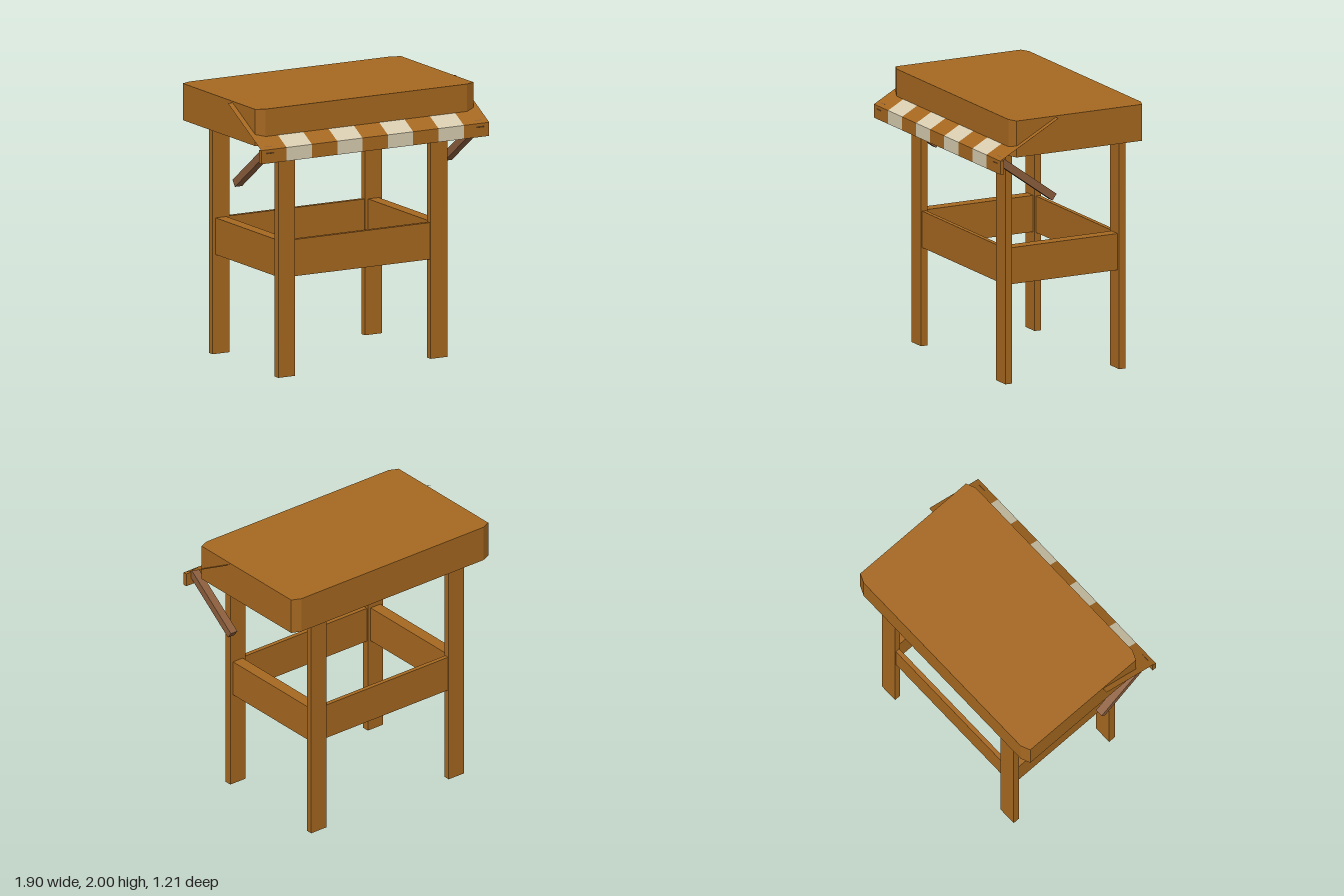
import * as THREE from 'three';

export function createModel() {
  const model = new THREE.Group();
  model.name = 'marketStall';

  const wood = new THREE.MeshStandardMaterial({ color: 0xa66820, side: THREE.DoubleSide });
  wood.name = 'warm wood';
  const cream = new THREE.MeshStandardMaterial({ color: 0xd9cdb0, side: THREE.DoubleSide });
  cream.name = 'cream cloth';
  const darkWood = new THREE.MeshStandardMaterial({ color: 0x8b5e3c });
  darkWood.name = 'strut wood';

  const add = (name, geometry, material, x, y, z) => {
    const mesh = new THREE.Mesh(geometry, material);
    mesh.name = name;
    mesh.position.set(x, y, z);
    model.add(mesh);
    return mesh;
  };
  // Box given by its minimum and maximum on each axis
  const slab = (name, material, [x0, x1], [y0, y1], [z0, z1]) =>
    add(name, new THREE.BoxGeometry(x1 - x0, y1 - y0, z1 - z0), material,
      (x0 + x1) / 2, (y0 + y1) / 2, (z0 + z1) / 2);

  // Thick top with clipped corners (shape y runs towards -z)
  const w = 0.91, front = -0.48, back = 0.605, cx = 0.07, cz = 0.03;
  const outline = new THREE.Shape([
    [-w + cx, front], [w - cx, front], [w, front + cz], [w, back - cz],
    [w - cx, back], [-w + cx, back], [-w, back - cz], [-w, front + cz],
  ].map(([x, y]) => new THREE.Vector2(x, y)));
  const topGeometry = new THREE.ExtrudeGeometry(outline, { depth: 0.27, bevelEnabled: false });
  topGeometry.rotateX(-Math.PI / 2);
  add('top', topGeometry, wood, 0, 1.73, 0);

  // Legs, side rails and awning struts, mirrored left and right
  const strutAngle = -Math.atan2(0.33, 0.455);
  for (const [side, s] of [['left', 1], ['right', -1]]) {
    const span = (a, b) => (s > 0 ? [a, b] : [-b, -a]);
    slab(side + 'FrontLeg', wood, span(0.565, 0.705), [0, 1.73], [0.375, 0.43]);
    slab(side + 'BackLeg', wood, span(0.565, 0.705), [0, 1.73], [-0.55, -0.5]);
    slab(side + 'Rail', wood, span(0.59, 0.68), [0.73, 1], [-0.5, 0.375]);
    const strut = add(side + 'Strut', new THREE.BoxGeometry(0.06, 0.057, 0.56), darkWood,
      s * 0.875, 1.562, 0.364);
    strut.rotation.x = strutAngle;
  }

  // Front and back rails
  slab('frontRail', wood, [-0.565, 0.565], [0.73, 1], [0.387, 0.42]);
  slab('backRail', wood, [-0.565, 0.565], [0.73, 1], [-0.542, -0.509]);

  // Striped awning sheet and its hanging valance
  const stripes = 9, half = 0.95, step = (2 * half) / stripes;
  const rise = 0.26, run = 0.475;
  for (let i = 0; i < stripes; i++) {
    const material = i % 2 ? cream : wood;
    const x0 = -half + i * step;
    const sheet = add('awningStripe' + (i + 1), new THREE.PlaneGeometry(step, Math.hypot(rise, run)),
      material, x0 + step / 2, 1.73 + rise / 2, 0.605 - run / 2);
    sheet.rotation.x = -Math.atan2(run, rise);
    slab('valanceStripe' + (i + 1), material, [x0, x0 + step], [1.63, 1.73], [0.575, 0.605]);
  }

  return model;
}
